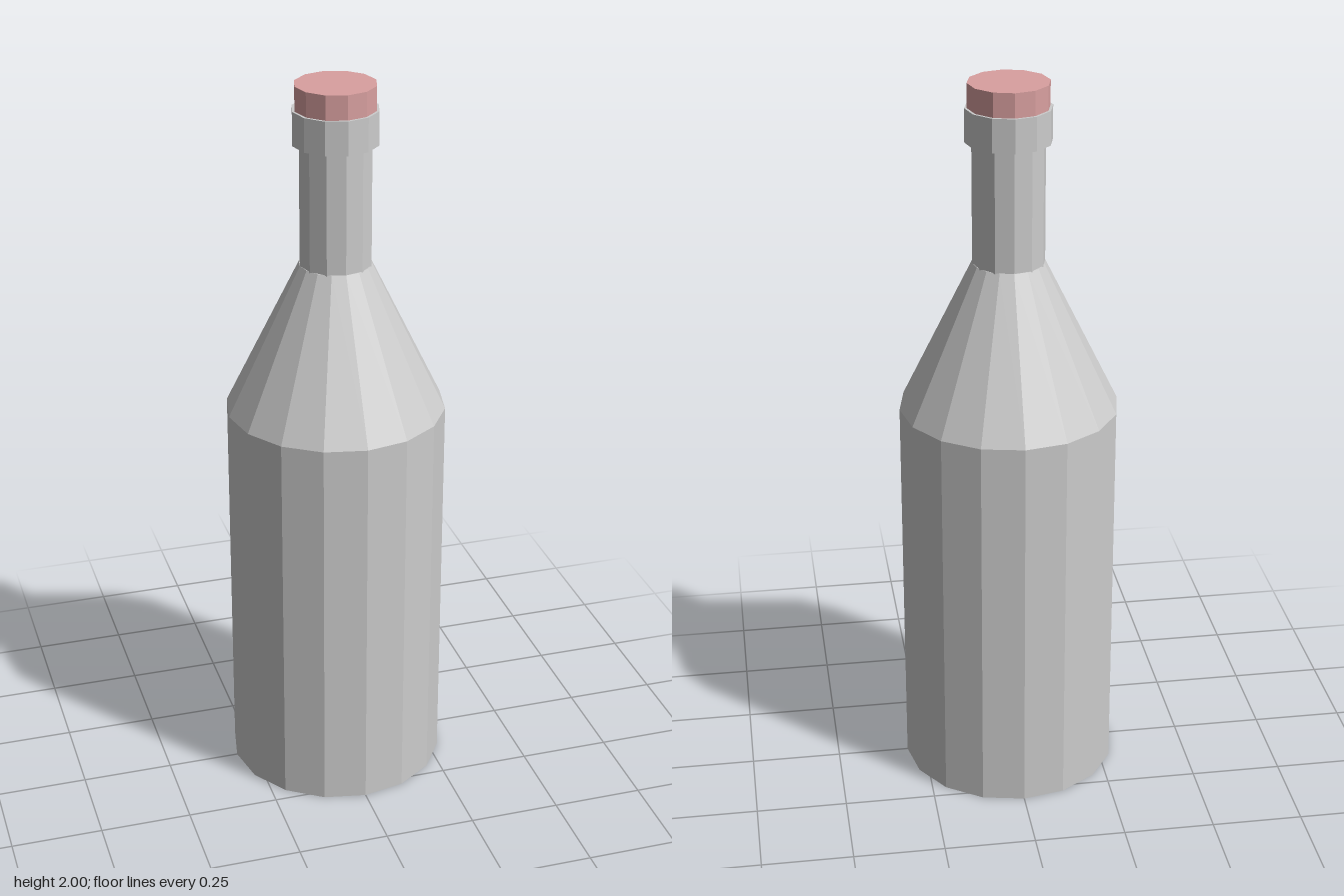
import * as THREE from 'three';

export function createModel() {
  const bottle = new THREE.Group();
  bottle.name = 'bottle';

  const glass = new THREE.MeshStandardMaterial({ color: 0xcccccc, flatShading: true });
  glass.name = 'pale grey glass';
  const cork = new THREE.MeshStandardMaterial({ color: 0xd9a0a0, flatShading: true });
  cork.name = 'dusty pink stopper';

  // A faceted upright section between two heights
  function section(name, material, sides, y0, y1, r0, r1 = r0, open = false) {
    const geometry = new THREE.CylinderGeometry(r1, r0, y1 - y0, sides, 1, open);
    geometry.translate(0, (y0 + y1) / 2, 0);
    const mesh = new THREE.Mesh(geometry, material);
    mesh.name = name;
    bottle.add(mesh);
  }

  // Body and shoulder share one 16-sided outline, closed at the base
  const outline = [[0, 0], [0.3, 0], [0.3, 1.095], [0.098, 1.51], [0, 1.51]];
  const body = new THREE.Mesh(
    new THREE.LatheGeometry(outline.map(([r, y]) => new THREE.Vector2(r, y)), 16),
    glass
  );
  body.name = 'bodyAndShoulder';
  bottle.add(body);

  // Twelve-sided neck, lip and stopper
  section('neck', glass, 12, 1.5, 1.86, 0.098);
  section('lip', glass, 12, 1.842, 1.934, 0.116);
  section('stopper', cork, 12, 1.92, 2, 0.109);

  return bottle;
}
